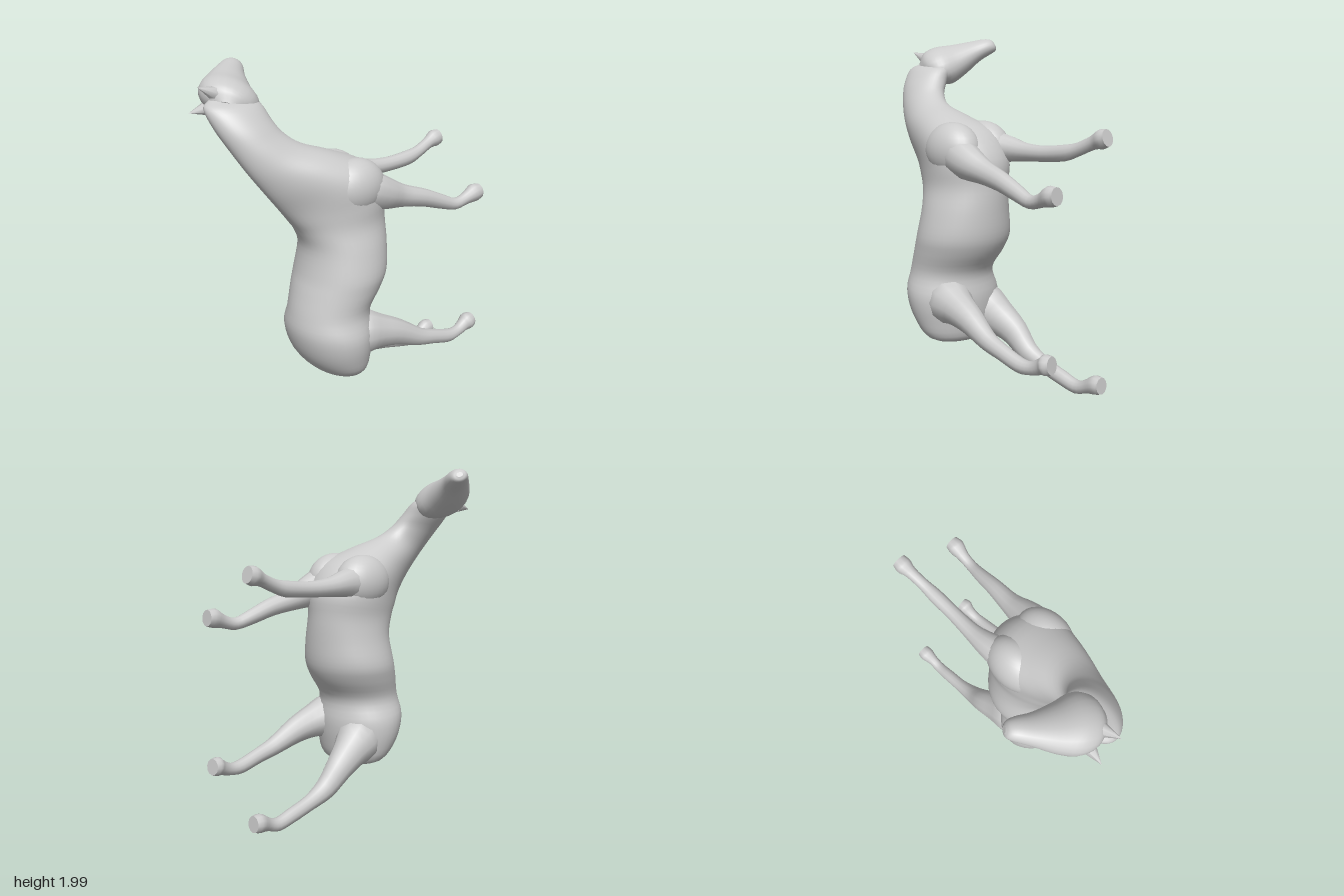
import * as THREE from 'three';

const V = (x, y, z) => new THREE.Vector3(x, y, z);
const material = new THREE.MeshStandardMaterial({ color: 0xcccccc, side: THREE.DoubleSide });

// Smooth skin through rings { c: centre, a, b: half axes, k: how much a narrows towards +b }
function loft(name, rings, sides, steps) {
  const curve = f => new THREE.CatmullRomCurve3(rings.map(f), false, 'catmullrom', 0.5);
  const C = curve(r => r.c), A = curve(r => r.a), B = curve(r => r.b);
  const D = curve(r => r.a.clone().multiplyScalar(r.k));
  const mid = rings[rings.length >> 1];
  const along = rings[(rings.length >> 1) + 1].c.clone().sub(mid.c);
  const sign = mid.a.clone().cross(mid.b).dot(along) < 0 ? -1 : 1;
  const n = (rings.length - 1) * steps;
  const pos = [], idx = [];
  const ringPoint = (t, j) => {
    const ang = (j / sides) * Math.PI * 2;
    const cos = Math.cos(ang), sin = Math.sin(ang) * sign;
    return C.getPoint(t)
      .addScaledVector(A.getPoint(t), cos)
      .addScaledVector(B.getPoint(t), sin)
      .addScaledVector(D.getPoint(t), -cos * sin);
  };
  for (let i = 0; i <= n; i++)
    for (let j = 0; j < sides; j++) pos.push(...ringPoint(i / n, j).toArray());
  for (let i = 0; i < n; i++)
    for (let j = 0; j < sides; j++) {
      const k = (j + 1) % sides, p = i * sides, q = p + sides;
      idx.push(p + j, p + k, q + j, p + k, q + k, q + j);
    }
  // End caps with their own vertices, so the rims stay sharp
  for (const t of [0, 1]) {
    const start = pos.length / 3;
    pos.push(...C.getPoint(t).toArray());
    for (let j = 0; j < sides; j++) pos.push(...ringPoint(t, j).toArray());
    for (let j = 0; j < sides; j++) {
      const p = start + 1 + j, q = start + 1 + ((j + 1) % sides);
      idx.push(start, ...(t ? [p, q] : [q, p]));
    }
  }
  const g = new THREE.BufferGeometry();
  g.setAttribute('position', new THREE.Float32BufferAttribute(pos, 3));
  g.setIndex(idx);
  g.computeVertexNormals();
  const mesh = new THREE.Mesh(g, material);
  mesh.name = name;
  return mesh;
}

// Leg from points [x, y, z, radius], rings square to the path
function leg(name, pts) {
  const c = pts.map(p => V(p[0], p[1], p[2]));
  const rings = pts.map((p, i) => {
    const t = c[Math.min(i + 1, c.length - 1)].clone().sub(c[Math.max(i - 1, 0)]).normalize();
    const b = V(1, 0, 0).cross(t).normalize();
    const a = t.clone().cross(b).normalize();
    return { c: c[i], a: a.multiplyScalar(p[3] * 0.95), b: b.multiplyScalar(p[3]), k: 0 };
  });
  return loft(name, rings, 12, 3);
}

function shoulder(name, x) {
  const m = new THREE.Mesh(new THREE.SphereGeometry(1, 28, 18), material);
  m.position.set(x, 1.34, 0.06);
  m.scale.set(0.135, 0.162, 0.19);
  m.name = name;
  return m;
}

function ear(name, base, tip) {
  const dir = tip.clone().sub(base);
  const m = new THREE.Mesh(new THREE.ConeGeometry(0.042, dir.length(), 7), material);
  m.position.copy(base).addScaledVector(dir, 0.5);
  m.quaternion.setFromUnitVectors(V(0, 1, 0), dir.normalize());
  m.name = name;
  return m;
}

export function createModel() {
  const model = new THREE.Group();
  model.name = 'horse';

  // Trunk and neck:
  // [x, half width, spine y, spine z, belly y, belly z, narrowing towards the spine]
  const trunk = [
    [0.15, 0.06, 0.19, 0.15, 0.19, 0.06, 0],
    [0.15, 0.22, 0.23, 0.265, 0.23, -0.03, 0],
    [0.15, 0.28, 0.35, 0.37, 0.35, -0.06, 0],
    [0.155, 0.295, 0.5, 0.42, 0.48, -0.07, 0],
    [0.16, 0.255, 0.62, 0.41, 0.62, -0.06, 0],
    [0.15, 0.275, 0.75, 0.375, 0.75, -0.14, 0],
    [0.145, 0.285, 0.85, 0.345, 0.85, -0.18, 0],
    [0.145, 0.255, 1.0, 0.325, 1.0, -0.19, 0],
    [0.135, 0.23, 1.1, 0.36, 1.15, -0.19, 0.05],
    [0.13, 0.23, 1.17, 0.41, 1.3, -0.18, 0.2],
    [0.13, 0.215, 1.24, 0.465, 1.45, -0.07, 0.35],
    [0.125, 0.165, 1.35, 0.55, 1.535, 0.13, 0.3],
    [0.1, 0.12, 1.47, 0.635, 1.595, 0.31, 0.1],
    [0.055, 0.112, 1.59, 0.705, 1.66, 0.4, 0],
    [0, 0.115, 1.7, 0.76, 1.73, 0.44, 0],
    [-0.06, 0.1, 1.8, 0.785, 1.81, 0.47, 0],
    [-0.09, 0.05, 1.84, 0.74, 1.84, 0.55, 0],
  ].map(([x, w, sy, sz, by, bz, k]) => ({
    c: V(x, (sy + by) / 2, (sz + bz) / 2),
    a: V(w, 0, 0),
    b: V(0, (sy - by) / 2, (sz - bz) / 2),
    k,
  }));
  model.add(loft('trunkAndNeck', trunk, 40, 4));
  model.add(shoulder('rightShoulder', 0.01), shoulder('leftShoulder', 0.245));

  // Head, turned to its right: [x, y, z, half width, half height]
  const side = V(0.55, 0.83, 0).normalize();
  const brow = V(-0.5, 0.33, 0.79).normalize();
  const head = [
    [-0.04, 1.79, 0.67, 0.05, 0.07],
    [-0.082, 1.81, 0.64, 0.1, 0.142],
    [-0.15, 1.83, 0.595, 0.12, 0.168],
    [-0.24, 1.868, 0.55, 0.098, 0.133],
    [-0.33, 1.92, 0.49, 0.067, 0.088],
    [-0.39, 1.95, 0.44, 0.052, 0.064],
    [-0.42, 1.96, 0.415, 0.038, 0.045],
    [-0.43, 1.964, 0.407, 0.015, 0.02],
  ].map(([x, y, z, w, h]) => ({
    c: V(x, y, z),
    a: side.clone().multiplyScalar(w),
    b: brow.clone().multiplyScalar(h),
    k: 0,
  }));
  model.add(loft('head', head, 24, 4));
  model.add(ear('leftEar', V(-0.095, 1.87, 0.7), V(-0.075, 1.915, 0.81)));
  model.add(ear('rightEar', V(-0.175, 1.785, 0.71), V(-0.19, 1.765, 0.815)));

  // Legs, from deep inside the body to the hoof
  model.add(leg('rightFrontLeg', [
    [0.04, 1.34, 0.1, 0.08], [0, 1.345, -0.02, 0.1], [-0.02, 1.345, -0.13, 0.077],
    [-0.025, 1.335, -0.25, 0.054], [-0.02, 1.335, -0.4, 0.045], [-0.02, 1.35, -0.55, 0.045],
    [-0.025, 1.375, -0.64, 0.037], [-0.035, 1.415, -0.73, 0.038],
    [-0.04, 1.435, -0.78, 0.053], [-0.04, 1.445, -0.82, 0.047],
  ]));
  model.add(leg('leftFrontLeg', [
    [0.24, 1.34, 0.1, 0.08], [0.265, 1.315, -0.02, 0.11], [0.28, 1.275, -0.13, 0.095],
    [0.285, 1.24, -0.25, 0.068], [0.305, 1.205, -0.4, 0.054], [0.32, 1.16, -0.53, 0.044],
    [0.335, 1.13, -0.63, 0.036], [0.34, 1.15, -0.71, 0.038],
    [0.345, 1.175, -0.77, 0.054], [0.345, 1.18, -0.815, 0.047],
  ]));
  model.add(leg('rightHindLeg', [
    [0.07, 0.43, 0.18, 0.08], [0.02, 0.375, 0.05, 0.145], [-0.01, 0.315, -0.07, 0.11],
    [-0.03, 0.245, -0.18, 0.085], [-0.03, 0.15, -0.29, 0.065], [-0.035, 0.1, -0.42, 0.046],
    [-0.035, 0.065, -0.55, 0.043], [-0.035, 0.043, -0.65, 0.039], [-0.035, 0.065, -0.72, 0.038],
    [-0.04, 0.09, -0.78, 0.053], [-0.04, 0.095, -0.82, 0.047],
  ]));
  model.add(leg('leftHindLeg', [
    [0.25, 0.48, 0.18, 0.08], [0.295, 0.465, 0.05, 0.14], [0.325, 0.445, -0.07, 0.105],
    [0.345, 0.405, -0.2, 0.08], [0.365, 0.335, -0.35, 0.056], [0.37, 0.3, -0.47, 0.046],
    [0.37, 0.265, -0.6, 0.042], [0.365, 0.27, -0.68, 0.037], [0.36, 0.295, -0.74, 0.044],
    [0.36, 0.31, -0.77, 0.056], [0.355, 0.315, -0.805, 0.048],
  ]));
  return model;
}
